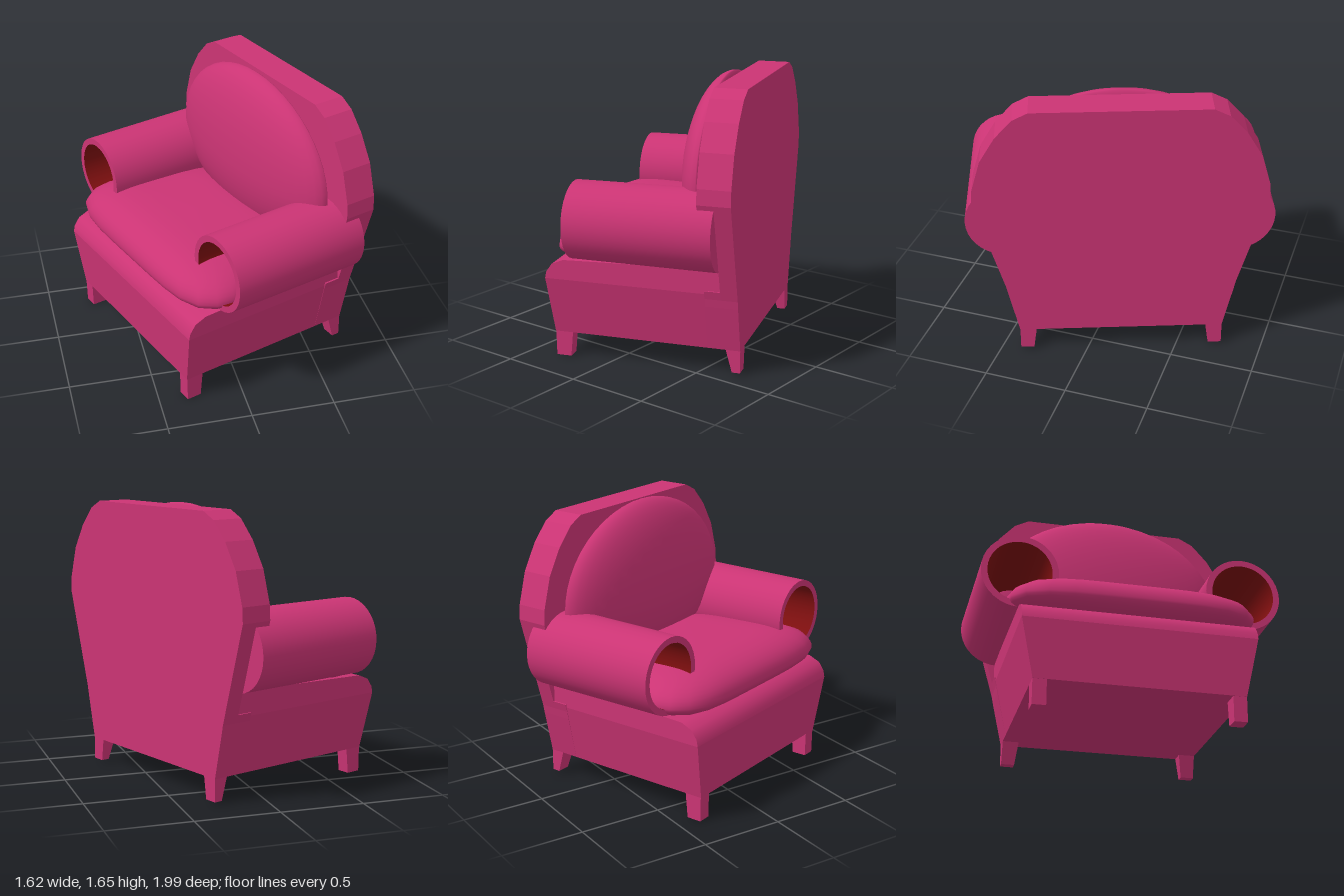
import * as THREE from 'three';
import { mergeVertices, toCreasedNormals } from 'three/addons/utils/BufferGeometryUtils.js';

const fabric = new THREE.MeshStandardMaterial({ color: 0xcb3474 });
fabric.name = 'raspberry fabric';
const lining = new THREE.MeshStandardMaterial({ color: 0x7d0f0f });
lining.name = 'dark red lining';

function add(parent, name, geometry, material = fabric) {
  const mesh = new THREE.Mesh(geometry, material);
  mesh.name = name;
  parent.add(mesh);
}

// Apply a rule to every vertex
function warp(geometry, rule) {
  const p = geometry.attributes.position;
  const v = new THREE.Vector3();
  for (let i = 0; i < p.count; i++) {
    rule(v.fromBufferAttribute(p, i));
    p.setXYZ(i, v.x, v.y, v.z);
  }
  geometry.computeVertexNormals();
  return geometry;
}

// Block between two rectangles [x0, x1, z0, z1] at heights y0 and y1
function taperedBlock(y0, low, y1, high) {
  return warp(new THREE.BoxGeometry(1, 1, 1), (v) => {
    const r = v.y < 0 ? low : high;
    v.set(v.x < 0 ? r[0] : r[1], v.y < 0 ? y0 : y1, v.z < 0 ? r[2] : r[3]);
  });
}

// Sphere reshaped by a rule, smooth across its seam
function pillow(rule) {
  const g = new THREE.SphereGeometry(1, 40, 24);
  g.deleteAttribute('uv');
  g.deleteAttribute('normal');
  return warp(mergeVertices(g, 1e-4), rule);
}

// Symmetrical panel from the right half of its outline
function panel(half, z0, z1) {
  const left = half.map(([x, y]) => [-x, y]).reverse();
  const shape = new THREE.Shape([...half, ...left].map(([x, y]) => new THREE.Vector2(x, y)));
  const g = new THREE.ExtrudeGeometry(shape, { depth: z1 - z0, bevelEnabled: false });
  return g.translate(0, 0, z0);
}

// Profile of [radius, z] points turned around the z axis
function turn(points) {
  const g = new THREE.LatheGeometry(points.map(([r, z]) => new THREE.Vector2(r, z)), 36);
  return toCreasedNormals(g.rotateX(Math.PI / 2), 0.7);
}

export function createModel() {
  const model = new THREE.Group();
  model.name = 'armchair';
  const chair = new THREE.Group();
  chair.name = 'chair';
  chair.rotation.y = -1.217;
  model.add(chair);

  // Backrest: full rear sheet, plus a front layer notched around the arms
  const foot = [[0.61, 0.15], [0.67, 0.42], [0.68, 0.47]];
  const crown = [[0.85, 1.06], [0.845, 1.15], [0.79, 1.34], [0.7, 1.49], [0.6, 1.6], [0.51, 1.645]];
  const notch = [[0.694, 0.52], [0.6, 0.52], [0.6, 1.03], [0.841, 1.03]];
  add(chair, 'backrestRear', panel([...foot, ...crown], -0.549, -0.45));
  add(chair, 'backrestFront', panel([...foot, ...notch, ...crown], -0.45, -0.355));

  // Base: flared skirt with a rounded front edge above it
  add(chair, 'baseSkirt', taperedBlock(0.15, [-0.61, 0.61, -0.5, 0.585], 0.5, [-0.684, 0.684, -0.45, 0.613]));
  const profile = [[-0.45, 0.5], [0.613, 0.5], [0.605, 0.54], [0.57, 0.59], [0.5, 0.62], [-0.45, 0.65]];
  const deck = new THREE.ExtrudeGeometry(
    new THREE.Shape(profile.map(([z, y]) => new THREE.Vector2(z, y))),
    { depth: 1.368, bevelEnabled: false }
  );
  deck.translate(0, 0, -0.684).rotateY(-Math.PI / 2);
  add(chair, 'baseDeck', toCreasedNormals(deck, 0.7));

  for (const side of [-1, 1]) {
    const name = side > 0 ? 'left' : 'right';
    const span = (inner, outer) => (side > 0 ? [inner, outer] : [-outer, -inner]);

    // Tapered legs
    add(chair, name + 'FrontLeg', taperedBlock(
      0, [...span(0.53, 0.61), 0.49, 0.58],
      0.16, [...span(0.53, 0.61), 0.475, 0.583]));
    add(chair, name + 'RearLeg', taperedBlock(
      0.015, [...span(0.53, 0.61), -0.549, -0.5],
      0.16, [...span(0.51, 0.61), -0.549, -0.46]));

    // Rolled arm with a hollow, lined front
    const arm = new THREE.Group();
    arm.name = name + 'Arm';
    arm.position.set(side * 0.672, 0.873, 0);
    chair.add(arm);
    add(arm, 'armRoll', turn([[0, -0.45], [0.233, -0.45], [0.228, 0.418], [0.19, 0.418]]));
    add(arm, 'armLining', turn([[0.19, 0.418], [0.19, -0.34], [0, -0.34]]), lining);
  }

  // Seat cushion: squarish pillow, wider in front of the arms
  add(chair, 'seatCushion', pillow((v) => {
    const angle = Math.atan2(v.z, v.x);
    const c = Math.cos(angle);
    const s = Math.sin(angle);
    const square = Math.pow(Math.abs(c) ** 5 + Math.abs(s) ** 5, -0.2);
    const r = Math.sqrt(Math.hypot(v.x, v.z)) * square;
    const z = 0.1 + 0.495 * s * r;
    const narrow = 1 - 0.2 * THREE.MathUtils.clamp((0.35 - z) / 0.5, 0, 1);
    v.set(0.75 * c * r * narrow, 0.695 + v.y * (v.y > 0 ? 0.165 : 0.11), z);
  }));

  // Back cushion: bulging oval, flatter behind
  add(chair, 'backCushion', pillow((v) => {
    v.set(0.72 * v.x, 1.1 + v.y * (v.y > 0 ? 0.555 : 0.42), -0.31 + v.z * (v.z > 0 ? 0.2 : 0.06));
  }));

  return model;
}
